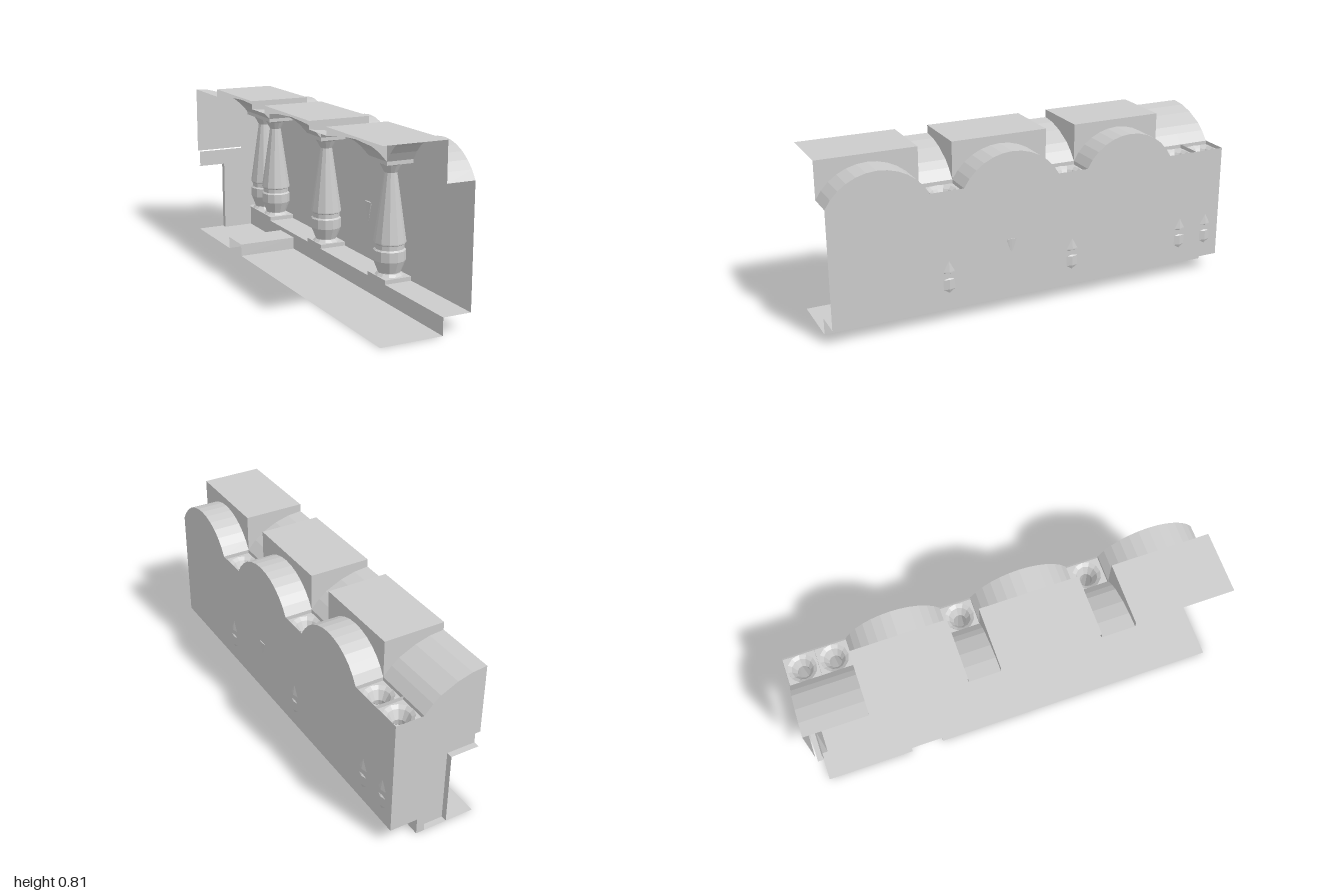
import * as THREE from 'three';

const material = new THREE.MeshStandardMaterial({ color: 0xcccccc, flatShading: true, side: THREE.DoubleSide });

// Main lines of the section
const BACK = -0.22, STEP = 0.075, FACE = 0.21;
const TOP = 0.815, SPRING = 0.638, SOFFIT = 0.08;
const bays = [[1, 0.53], [0.37, -0.1], [-0.25, -0.7]];
const cells = [[0.53, 0.37], [-0.1, -0.25], [-0.7, -0.85], [-0.85, -1]];
const vault = [[BACK, 0.777], [-0.15, 0.77], [-0.08, 0.75], [0, 0.711], [0.035, 0.682], [STEP, SPRING]];

export function createModel() {
  const model = new THREE.Group();

  function add(name, geometry, parent = model) {
    const mesh = new THREE.Mesh(geometry, material);
    mesh.name = name;
    parent.add(mesh);
    return mesh;
  }

  // Sheet stretched between two lines with the same number of points
  function sheet(name, a, b, parent) {
    const positions = [];
    for (let i = 0; i < a.length - 1; i++) {
      positions.push(...a[i], ...b[i], ...b[i + 1], ...a[i], ...b[i + 1], ...a[i + 1]);
    }
    const geometry = new THREE.BufferGeometry();
    geometry.setAttribute('position', new THREE.Float32BufferAttribute(positions, 3));
    geometry.computeVertexNormals();
    return add(name, geometry, parent);
  }

  // Section line [x, y] swept from z0 to z1
  const sweep = (name, line, z0, z1, parent) =>
    sheet(name, line.map(([x, y]) => [x, y, z0]), line.map(([x, y]) => [x, y, z1]), parent);

  // Flat outline [x, y] at depth z
  function panel(name, outline, z) {
    const shape = new THREE.Shape(outline.map(([x, y]) => new THREE.Vector2(x, y)));
    add(name, new THREE.ShapeGeometry(shape).translate(0, 0, z));
  }

  // Square plate with a round hole, and a shallow rim up or down to rimY
  function socket(name, z0, z1, y, rimY, radius, parent) {
    const shape = new THREE.Shape([[STEP, z0], [FACE, z0], [FACE, z1], [STEP, z1]].map(p => new THREE.Vector2(...p)));
    const hole = new THREE.Path();
    hole.absarc((STEP + FACE) / 2, (z0 + z1) / 2, radius, 0, Math.PI * 2, true);
    shape.holes.push(hole);
    add(name, new THREE.ShapeGeometry(shape, 12).rotateX(Math.PI / 2).translate(0, y, 0), parent);
    const corners = [[STEP, z0], [FACE, z0], [FACE, z1], [STEP, z1], [STEP, z0]];
    sheet(name + 'Rim', corners.map(([x, z]) => [x, y, z]), corners.map(([x, z]) => [x, rimY, z]), parent);
  }

  // Bays: scalloped face, arch top and block above
  for (const [z0, z1] of bays) {
    const bay = new THREE.Group();
    bay.name = 'archedBay';
    model.add(bay);
    const half = (z0 - z1) / 2, rise = 0.777 - SPRING;
    const radius = (half * half + rise * rise) / (2 * rise);
    const spread = Math.asin(half / radius);
    const arch = [];
    for (let i = 0; i <= 12; i++) {
      const t = spread * (1 - i / 6);
      arch.push([(z0 + z1) / 2 + radius * Math.sin(t), 0.777 - radius + radius * Math.cos(t)]);
    }
    const at = x => arch.map(([z, y]) => [x, y, z]);
    const level = (x, y) => arch.map(([z]) => [x, y, z]);
    sheet('face', level(FACE, SOFFIT), at(FACE), bay);
    sheet('archTop', at(STEP), at(FACE), bay);
    sheet('blockFront', at(STEP), level(STEP, TOP), bay);
    sweep('blockTop', [[BACK, TOP], [STEP, TOP]], z0, z1, bay);
    sweep('soffit', [[STEP, SOFFIT], [FACE, SOFFIT]], z0, z1, bay);
    for (const z of [z0, z1]) {
      if (Math.abs(z) === 1) continue;
      sheet('blockSide', vault.map(([x, y]) => [x, y, z]), vault.map(([x]) => [x, TOP, z]), bay);
    }
  }

  // Narrow cells: curved roof, sockets and a hollow turned baluster
  const turning = [[0.067, 0.622], [0.05, 0.61], [0.029, 0.572], [0.075, 0.255], [0.075, 0.25], [0.067, 0.245],
    [0.067, 0.224], [0.075, 0.217], [0.075, 0.17], [0.053, 0.115], [0.053, 0.112], [0.066, 0.1]];
  const profile = turning.map(p => new THREE.Vector2(...p));
  for (const [z0, z1] of cells) {
    const cell = new THREE.Group();
    cell.name = 'balusterCell';
    model.add(cell);
    sweep('curvedRoof', vault, z0, z1, cell);
    sweep('face', [[FACE, SOFFIT], [FACE, SPRING]], z0, z1, cell);
    socket('upperSocket', z0, z1, 0.62, SPRING, 0.065, cell);
    socket('plinth', z0, z1, 0.1, SOFFIT, 0.064, cell);
    add('baluster', new THREE.LatheGeometry(profile, 12), cell)
      .position.set((STEP + FACE) / 2, 0, (z0 + z1) / 2);
  }

  // Small pointed boss on the face
  const boss = add('pointedBoss', new THREE.ConeGeometry(0.028, 0.11, 12).rotateX(Math.PI));
  boss.position.set(0.207, 0.305, 0.14);
  boss.scale.x = 0.25;

  // Base with a cross channel
  sweep('baseFront', [[STEP, 0], [STEP, SOFFIT]], 1, -1);
  sweep('baseFloor', [[BACK, 0], [STEP, 0]], 1, -0.41);
  sweep('baseFloor', [[BACK, 0], [STEP, 0]], -0.57, -1);
  sweep('channelTop', [[BACK, 0.06], [STEP, 0.06]], -0.41, -0.57);
  for (const z of [-0.41, -0.57]) {
    sheet('channelSide', [[BACK, 0, z], [STEP, 0, z]], [[BACK, 0.06, z], [STEP, 0.06, z]]);
  }

  // Rear end: outer panel, recessed angle piece and its reveal
  panel('endPanel', [[FACE, SOFFIT], [FACE, SPRING], ...[...vault].reverse(), [BACK, 0.44],
    [0.035, 0.44], [0.035, 0], [STEP, 0], [STEP, SOFFIT]], -1);
  panel('recessedAngle', [[BACK, 0.44], [0.035, 0.44], [0.035, 0.18], [STEP, 0.18], [STEP, 0],
    [-0.08, 0], [-0.08, 0.36], [BACK, 0.36]], -0.97);
  sweep('angleReveal', [[BACK, 0.36], [-0.08, 0.36], [-0.08, 0]], -1, -0.97);

  return model;
}
